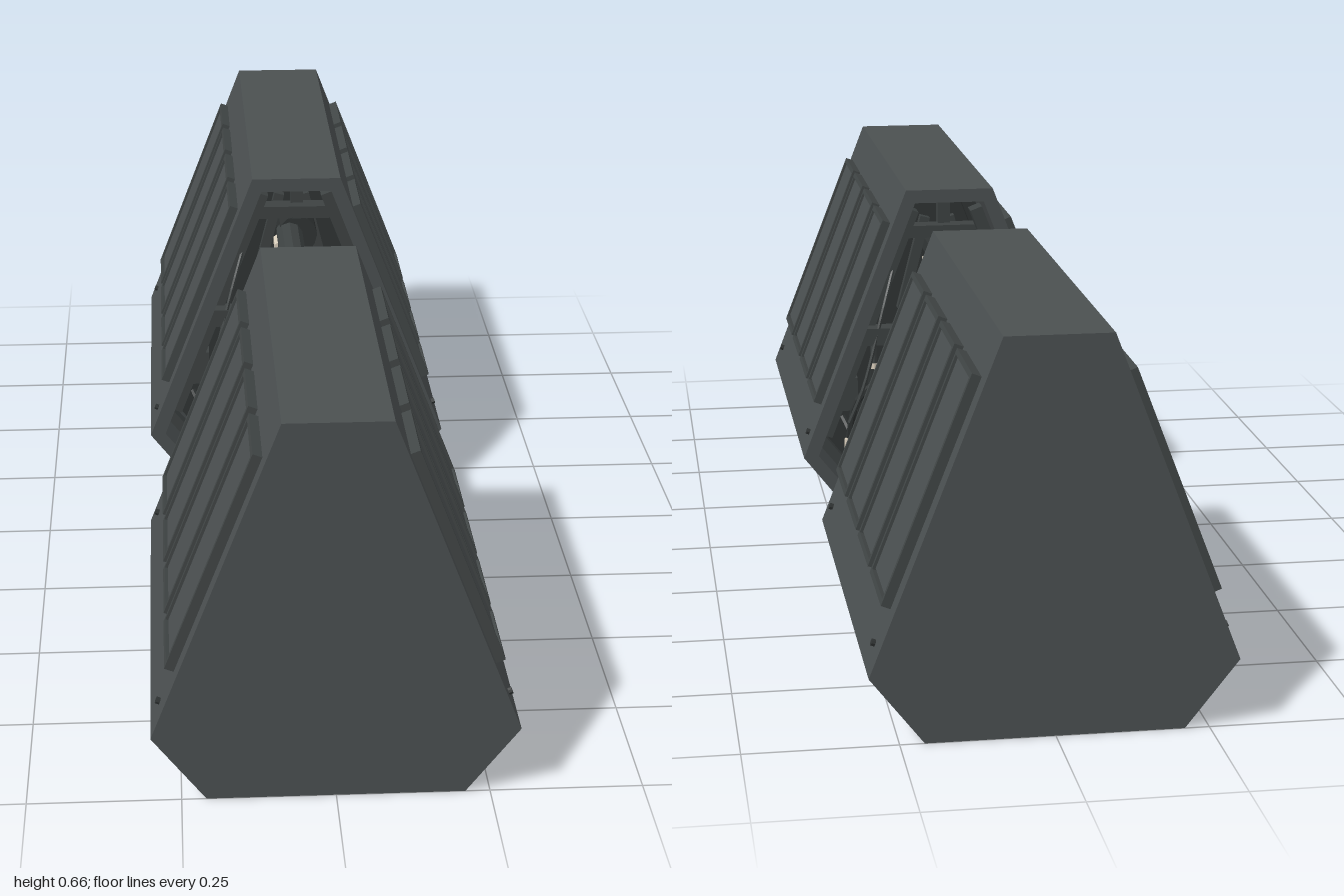
import * as THREE from 'three';

const mat = (name, color) => {
  const m = new THREE.MeshStandardMaterial({ color, flatShading: true });
  m.name = name;
  return m;
};

export function createModel() {
  const hull = mat('hull grey', 0x4b5051);
  const frameGrey = mat('frame grey', 0x414646);
  const dark = mat('machinery dark', 0x2f3333);
  const steel = mat('steel', 0x3d4242);
  const cream = mat('cream fitting', 0xd8cdbb);

  const add = (parent, name, geo, material, x = 0, y = 0, z = 0, rx = 0, ry = 0, rz = 0) => {
    const m = new THREE.Mesh(geo, material);
    m.name = name;
    m.position.set(x, y, z);
    m.rotation.set(rx, ry, rz);
    parent.add(m);
    return m;
  };
  const box = (w, h, d) => new THREE.BoxGeometry(w, h, d);
  const cyl = (r, h, n = 12) => new THREE.CylinderGeometry(r, r, h, n);
  const pipe = (r, ...pts) => new THREE.TubeGeometry(
    new THREE.CatmullRomCurve3(pts.map(p => new THREE.Vector3(...p))), 14, r, 6);
  const extrude = (shape, depth) => new THREE.ExtrudeGeometry(shape, { depth, bevelEnabled: false });

  // Six-sided pod section
  const outline = [[-0.21, 0], [0.21, 0], [0.298, 0.113], [0.087, 0.657], [-0.087, 0.657], [-0.298, 0.113]];
  const inner = [[-0.197, 0.026], [0.197, 0.026], [0.268, 0.116], [0.069, 0.631], [-0.069, 0.631], [-0.268, 0.116]];
  const poly = pts => new THREE.Shape(pts.map(p => new THREE.Vector2(...p)));
  const ring = (a, b) => {
    const s = poly(a);
    s.holes.push(poly(b));
    return s;
  };
  const rect = (w, h) => [[-w / 2, -h / 2], [w / 2, -h / 2], [w / 2, h / 2], [-w / 2, h / 2]];

  const tilt = Math.atan2(0.211, 0.544);

  // Raised panels and bolts lying on one sloping side
  function sidePanels() {
    const turn = new THREE.Group();
    const side = new THREE.Group();
    turn.name = 'sidePanels';
    side.position.set(0.187, 0.4, 0);
    side.rotation.z = tilt;
    turn.add(side);
    for (const z of [-0.284, -0.095, 0.095, 0.284]) {
      add(side, 'panelFrame', extrude(ring(rect(0.16, 0.398), rect(0.142, 0.38)), 0.017), frameGrey, -0.001, 0, z, 0, Math.PI / 2);
      add(side, 'panelPlate', box(0.012, 0.372, 0.134), hull, 0.006, 0, z);
      add(side, 'panelGroove', box(0.006, 0.38, 0.142), dark, 0.001, 0, z);
    }
    for (const z of [-0.35, 0.35]) {
      add(side, 'sideBolt', cyl(0.006, 0.008, 8), dark, 0.002, -0.264, z, 0, 0, Math.PI / 2);
    }
    return turn;
  }

  // Equipment visible through the open end of a pod
  function machinery() {
    const g = new THREE.Group();
    g.name = 'machinery';
    add(g, 'crossBeam', box(0.35, 0.035, 0.04), steel, 0, 0.35, 0.26);
    add(g, 'upperBeam', box(0.2, 0.025, 0.04), steel, 0, 0.55, 0.33);
    add(g, 'floorBeam', box(0.4, 0.03, 0.06), steel, 0, 0.042, 0.25);
    add(g, 'engineBlock', box(0.15, 0.16, 0.12), steel, 0, 0.12, 0.34);
    add(g, 'engineHead', box(0.11, 0.04, 0.1), dark, 0, 0.22, 0.33);
    add(g, 'tank', cyl(0.034, 0.06, 16), cream, 0, 0.275, 0.3);
    add(g, 'tankCollar', cyl(0.04, 0.016, 16), dark, 0, 0.245, 0.3);
    // Ports on the engine face
    for (const x of [-0.037, 0.037]) for (const y of [0.085, 0.155]) {
      add(g, 'portRing', new THREE.TorusGeometry(0.021, 0.006, 6, 14), dark, x, y, 0.279);
      add(g, 'portHub', cyl(0.009, 0.016, 10), steel, x, y, 0.276, Math.PI / 2);
    }
    for (const s of [-1, 1]) {
      // Ribs following the sloping walls
      add(g, 'wallRib', box(0.025, 0.5, 0.04), steel, s * 0.155, 0.37, 0.29, 0, 0, s * tilt);
      add(g, 'wallRib', box(0.02, 0.5, 0.03), dark, s * 0.148, 0.37, 0.38, 0, 0, s * tilt);
      add(g, 'roofBrace', box(0.02, 0.2, 0.02), steel, s * 0.05, 0.47, 0.39, 0, 0, s * 0.25);
      add(g, 'lowerBrace', box(0.02, 0.13, 0.03), steel, s * 0.222, 0.09, 0.27, 0, 0, -s * 0.67);
      // Wheels, dampers and hoses beside the engine
      add(g, 'flywheel', cyl(0.06, 0.025, 18), dark, s * 0.095, 0.2, 0.33, 0, 0, Math.PI / 2);
      add(g, 'flywheelHub', cyl(0.02, 0.04, 10), steel, s * 0.095, 0.2, 0.33, 0, 0, Math.PI / 2);
      add(g, 'damper', cyl(0.014, 0.17, 10), dark, s * 0.145, 0.19, 0.28);
      add(g, 'damperRod', cyl(0.007, 0.09, 8), steel, s * 0.145, 0.31, 0.28);
      add(g, 'damperCap', cyl(0.01, 0.012, 8), cream, s * 0.145, 0.28, 0.28);
      add(g, 'hose', pipe(0.007, [s * 0.06, 0.22, 0.29], [s * 0.11, 0.27, 0.24], [s * 0.18, 0.22, 0.25], [s * 0.2, 0.12, 0.28]), dark);
      add(g, 'hose', pipe(0.006, [s * 0.07, 0.1, 0.29], [s * 0.12, 0.07, 0.24], [s * 0.17, 0.1, 0.25], [s * 0.21, 0.17, 0.3]), dark);
      add(g, 'thinPipe', pipe(0.004, [s * 0.2, 0.17, 0.25], [s * 0.17, 0.25, 0.24], [s * 0.13, 0.4, 0.25], [s * 0.1, 0.5, 0.28]), steel);
      add(g, 'hoseFitting', cyl(0.009, 0.02, 8), cream, s * 0.2, 0.12, 0.27);
      add(g, 'sideCasing', box(0.05, 0.07, 0.08), steel, s * 0.2, 0.21, 0.36);
    }
    // Socket that holds the connecting rod
    add(g, 'rodSocket', cyl(0.04, 0.1, 12), dark, -0.008, 0.502, 0.36, Math.PI / 2);
    add(g, 'rodHanger', box(0.025, 0.1, 0.03), steel, -0.008, 0.58, 0.35);
    add(g, 'rodNut', cyl(0.012, 0.05, 6), cream, 0.03, 0.49, 0.295, Math.PI / 2);
    return g;
  }

  // One pod, closed at z = 1 and open at z = 0.2
  function pod(name) {
    const g = new THREE.Group();
    g.name = name;
    add(g, 'shell', extrude(ring(outline, inner), 0.78), hull, 0, 0, 0.2);
    add(g, 'endPlate', extrude(poly(outline), 0.02), hull, 0, 0, 0.98);
    add(g, 'bulkhead', extrude(poly(inner), 0.02), dark, 0, 0, 0.42);
    for (const turn of [0, Math.PI]) {
      const side = sidePanels();
      side.position.z = 0.6;
      side.rotation.y = turn;
      g.add(side);
    }
    g.add(machinery());
    return g;
  }

  const model = new THREE.Group();
  model.name = 'twinPods';
  const rear = pod('rearPod');
  rear.rotation.y = Math.PI;
  model.add(pod('frontPod'), rear);

  // Rod joining the pods
  add(model, 'connectingRod', cyl(0.027, 0.66, 10), steel, -0.008, 0.502, 0, Math.PI / 2);
  return model;
}
